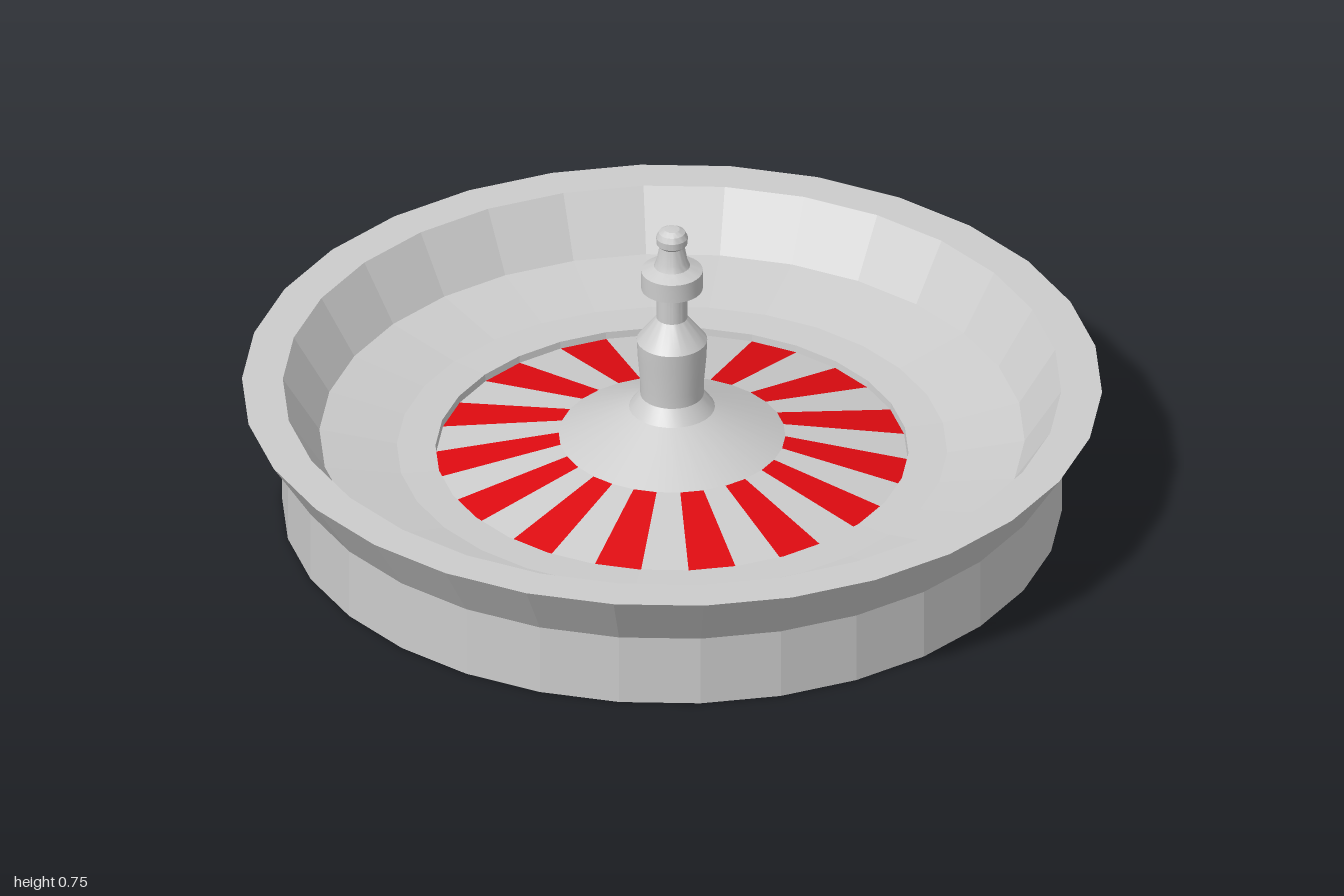
import * as THREE from 'three';
import { toCreasedNormals } from 'three/addons/utils/BufferGeometryUtils.js';

const SIDES = 30;
const STEP = (Math.PI * 2) / SIDES;

const grey = new THREE.MeshStandardMaterial({ color: 0xcccccc });
const greyFlat = new THREE.MeshStandardMaterial({ color: 0xcccccc, flatShading: true });
const red = new THREE.MeshStandardMaterial({ color: 0xdd0a10, flatShading: true });

const toPoints = (profile) => profile.map(([r, y]) => new THREE.Vector2(r, y));

function turned(name, profile, material) {
  let geometry = new THREE.LatheGeometry(toPoints(profile), SIDES);
  if (!material.flatShading) geometry = toCreasedNormals(geometry, 0.4);
  const mesh = new THREE.Mesh(geometry, material);
  mesh.name = name;
  return mesh;
}

export function createModel() {
  const model = new THREE.Group();
  model.name = 'rouletteWheel';

  // Faceted bowl: base, flared outer wall, flat rim, sloping track and inner ledge
  model.add(turned('bowl', [
    [0, 0], [0.907, 0], [0.907, 0.175], [1, 0.32], [0.905, 0.32],
    [0.82, 0.185], [0.64, 0.15], [0.55, 0.147], [0.548, 0.13],
  ], greyFlat));

  // Ring of pockets, alternately grey and red
  const pockets = new THREE.Group();
  pockets.name = 'pockets';
  const pocketProfile = toPoints([[0.548, 0.13], [0.262, 0.187]]);
  for (let i = 0; i < SIDES; i++) {
    const isRed = i % 2 === 1;
    const geometry = new THREE.LatheGeometry(pocketProfile, 1, i * STEP, STEP);
    const pocket = new THREE.Mesh(geometry, isRed ? red : greyFlat);
    pocket.name = isRed ? 'redPocket' : 'greyPocket';
    pockets.add(pocket);
  }
  model.add(pockets);

  // Central cone rising to the spindle
  model.add(turned('cone', [[0.265, 0.186], [0.1, 0.264], [0.074, 0.3]], grey));

  // Turned spindle
  model.add(turned('spindle', [
    [0.074, 0.29], [0.074, 0.33], [0.08, 0.4], [0.082, 0.445],
    [0.036, 0.505], [0.035, 0.585],
  ], grey));

  // Collar around the spindle
  model.add(turned('collar', [
    [0.035, 0.585], [0.072, 0.585], [0.072, 0.632], [0.042, 0.645],
  ], grey));

  // Finial with a rounded knob
  model.add(turned('finial', [
    [0.042, 0.645], [0.036, 0.66], [0.029, 0.698], [0.036, 0.705],
    [0.037, 0.722], [0.031, 0.735], [0.018, 0.743], [0, 0.745],
  ], grey));

  return model;
}
